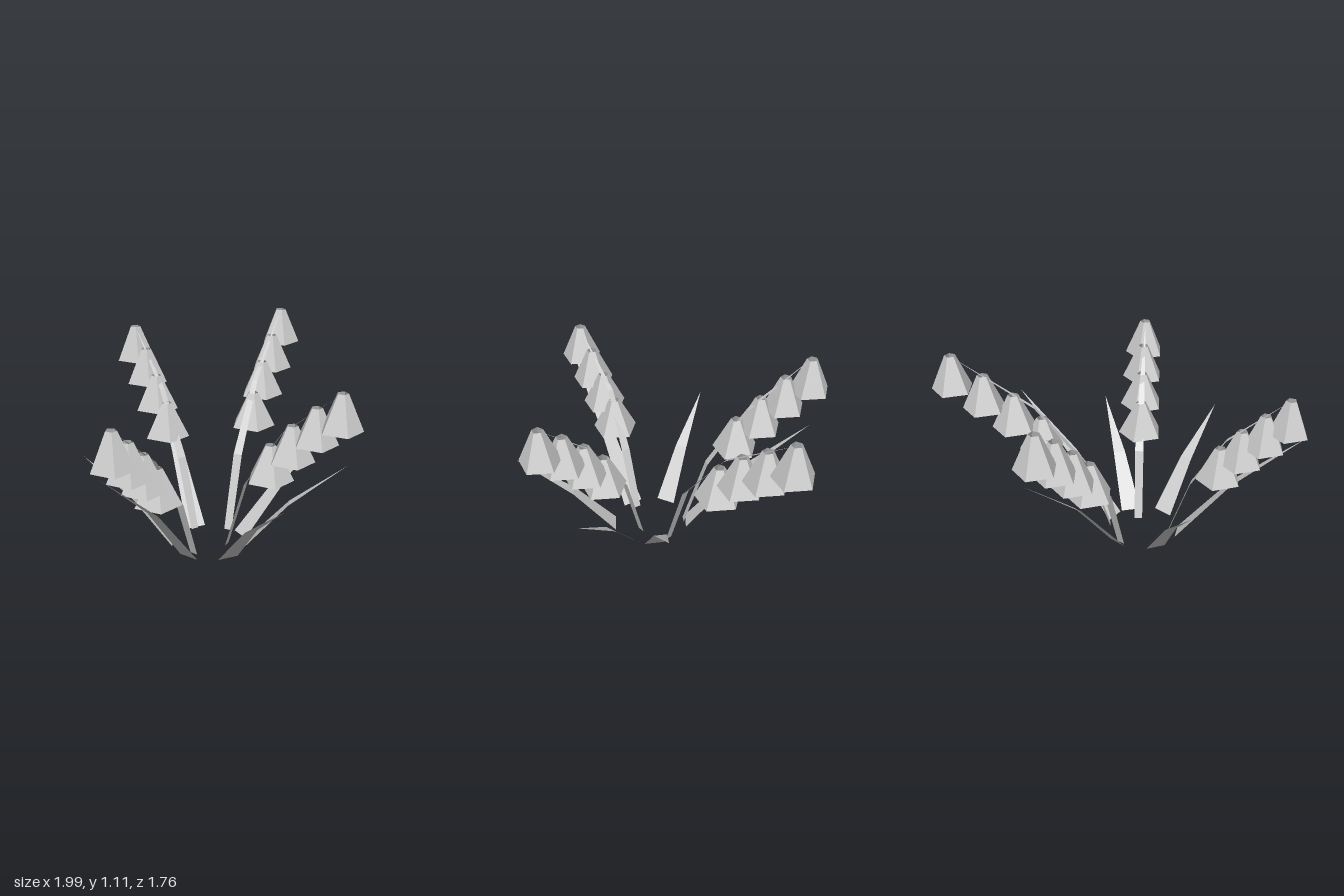
import * as THREE from 'three';

const grey = new THREE.MeshStandardMaterial({ color: 0xcccccc, flatShading: true, side: THREE.DoubleSide });
grey.name = 'pale grey';

// Flat ribbon along a path, ending in a point; its width lies level across the given direction.
function ribbon(points, widths, across, name) {
  const pos = [], index = [];
  points.forEach((p, i) => {
    for (const s of [-0.5, 0.5]) {
      const q = p.clone().addScaledVector(across, s * widths[i]);
      pos.push(q.x, q.y, q.z);
    }
    if (i > 0) {
      const a = 2 * i - 2;
      index.push(a, a + 1, a + 2);
      if (widths[i] > 0) index.push(a + 1, a + 3, a + 2);
    }
  });
  const geo = new THREE.BufferGeometry();
  geo.setAttribute('position', new THREE.Float32BufferAttribute(pos, 3));
  geo.setIndex(index);
  geo.computeVertexNormals();
  const mesh = new THREE.Mesh(geo, grey);
  mesh.name = name;
  return mesh;
}

// Blade with one bend, from the two corners of its foot [x, z] to its tip.
function leaf([ax, az], [bx, bz], [tx, ty, tz]) {
  const base = new THREE.Vector3((ax + bx) / 2, 0, (az + bz) / 2);
  const tip = new THREE.Vector3(tx, ty, tz);
  const mid = base.clone().lerp(tip, 0.44);
  mid.y = ty * 0.53;
  const across = new THREE.Vector3(bx - ax, 0, bz - az);
  return ribbon([base, mid, tip], [1, 0.62, 0], across, 'leaf');
}

// Arching stem with four open, five-sided bells hanging from its upper part.
function flowerStem({ path, bells }) {
  const g = new THREE.Group();
  g.name = 'flowerStem';
  const pts = path.map(p => new THREE.Vector3(...p));
  const dir = pts[3].clone().sub(pts[0]);
  const across = new THREE.Vector3(-dir.z, 0, dir.x).normalize();
  g.add(ribbon(pts, [0.045, 0.05, 0.03, 0], across, 'stem'));
  bells.forEach(([x, top, z], i) => {
    const geo = new THREE.CylinderGeometry(0.03, 0.131 - 0.005 * i, 0.2, 5, 1, true);
    geo.rotateY(Math.PI);
    const bell = new THREE.Mesh(geo, grey);
    bell.name = 'bellFlower';
    bell.position.set(x, top - 0.1, z);
    g.add(bell);
  });
  return g;
}

export function createModel() {
  const model = new THREE.Group();
  model.name = 'bellFlowerPlant';

  const stems = [
    { // left side
      path: [[0.09, 0, 0.06], [0.22, 0.42, 0.015], [0.48, 0.785, -0.085], [0.89, 1.1, -0.24]],
      bells: [[0.445, 0.72, -0.07], [0.585, 0.865, -0.125], [0.735, 0.985, -0.18], [0.888, 1.105, -0.24]],
    },
    { // right side
      path: [[-0.25, 0, 0.115], [-0.37, 0.35, 0.13], [-0.56, 0.66, 0.14], [-0.88, 0.93, 0.2]],
      bells: [[-0.53, 0.61, 0.13], [-0.642, 0.727, 0.15], [-0.76, 0.833, 0.172], [-0.882, 0.935, 0.197]],
    },
    { // front
      path: [[-0.045, 0, 0.175], [-0.01, 0.4, 0.28], [0.045, 0.73, 0.48], [0.13, 1, 0.79]],
      bells: [[0.027, 0.65, 0.415], [0.062, 0.78, 0.53], [0.098, 0.9, 0.655], [0.132, 1, 0.785]],
    },
    { // back
      path: [[-0.03, 0, -0.09], [0, 0.4, -0.22], [0.065, 0.75, -0.44], [0.16, 1.045, -0.76]],
      bells: [[0.04, 0.685, -0.38], [0.08, 0.815, -0.505], [0.122, 0.94, -0.63], [0.163, 1.045, -0.763]],
    },
  ];
  for (const s of stems) model.add(flowerStem(s));

  // foot corner, foot corner, tip
  const leaves = [
    [[-0.275, -0.03], [-0.19, -0.1], [-0.54, 0.51, -0.44]],
    [[-0.065, -0.12], [0.04, -0.075], [0.275, 0.7, -0.715]],
    [[0.11, 0.095], [0.08, 0.205], [0.785, 0.635, 0.365]],
    [[0.075, 0.215], [-0.02, 0.275], [0.355, 0.505, 0.685]],
    [[-0.105, 0.31], [-0.215, 0.265], [-0.323, 0.51, 0.8]],
    [[-0.29, 0.18], [-0.305, 0.065], [-0.985, 0.72, 0.22]],
  ];
  for (const l of leaves) model.add(leaf(...l));

  return model;
}
